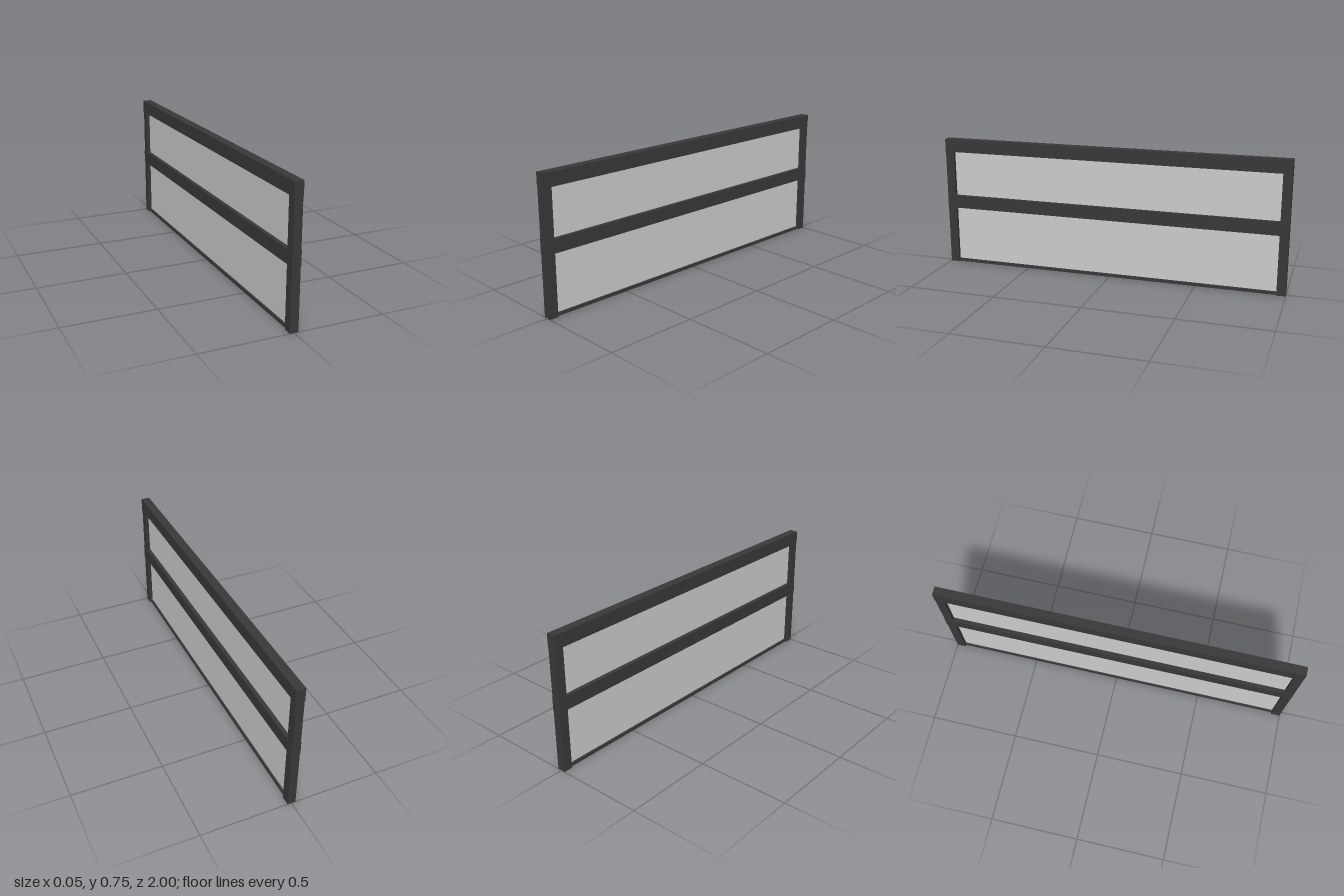
import * as THREE from 'three';

export function createModel() {
  const model = new THREE.Group();
  model.name = 'framedPanelBarrier';
  const frame = new THREE.MeshStandardMaterial({ color: 0x383838 });
  const grey = new THREE.MeshStandardMaterial({ color: 0xcccccc });

  // Box centred on x, spanning y0..y1 and z0..z1
  const slab = (name, width, y0, y1, z0, z1, material) => {
    const mesh = new THREE.Mesh(new THREE.BoxGeometry(width, y1 - y0, z1 - z0), material);
    mesh.position.set(0, (y0 + y1) / 2, (z0 + z1) / 2);
    mesh.name = name;
    model.add(mesh);
  };

  // Horizontal rails, slightly thicker than the posts
  slab('topRail', 0.05, 0.675, 0.75, -1, 1, frame);
  slab('middleRail', 0.05, 0.338, 0.413, -1, 1, frame);
  slab('bottomRail', 0.026, 0, 0.017, -0.95, 0.95, frame);

  // End posts, split between the rails
  for (const [name, z0] of [['frontPost', 0.95], ['backPost', -1]]) {
    slab(name + 'Lower', 0.045, 0, 0.338, z0, z0 + 0.05, frame);
    slab(name + 'Upper', 0.045, 0.413, 0.675, z0, z0 + 0.05, frame);
  }

  // Thin infill panels
  slab('lowerPanel', 0.006, 0.017, 0.338, -0.95, 0.95, grey);
  slab('upperPanel', 0.006, 0.413, 0.675, -0.95, 0.95, grey);

  return model;
}
